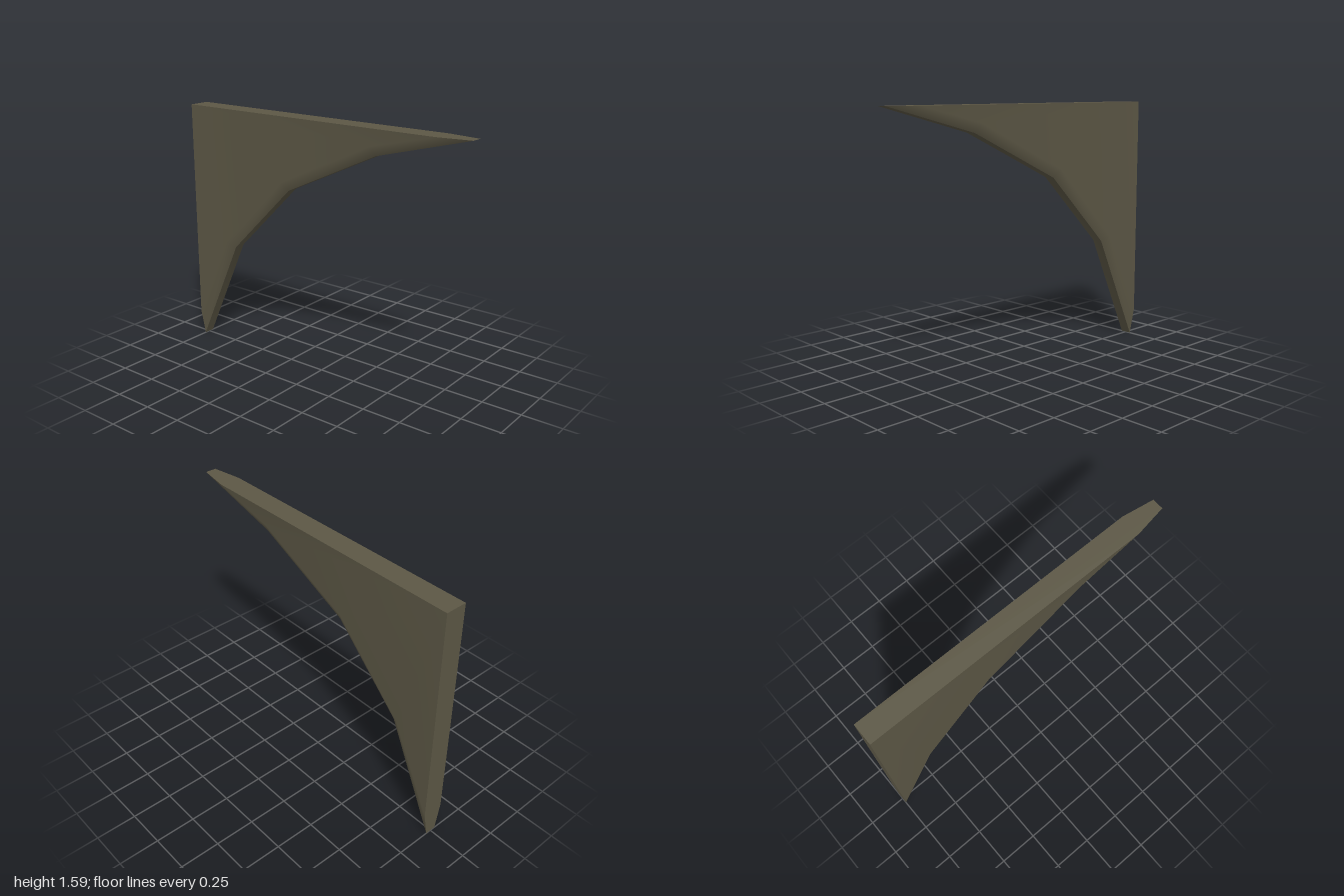
import * as THREE from 'three';

const WIDE = 0.067, NARROW = 0.035;
// Profile points as [z, y]: curved lower edge, its inset bevel line, and the square corner
const EDGE = [[1, 1.592], [0.405, 1.435], [-0.225, 1.14], [-0.68, 0.69], [-1, 0]];
const INSET = [[0.8, 1.592], [0.38, 1.49], [-0.26, 1.19], [-0.73, 0.72], [-1, 0.175]];
const CORNER = [-1, 1.592];

const at = (x, [z, y]) => [x, y, z];

function surface(name, points, index, material) {
  const geometry = new THREE.BufferGeometry();
  geometry.setAttribute('position', new THREE.Float32BufferAttribute(points.flat(), 3));
  geometry.setIndex(index);
  geometry.computeVertexNormals();
  const mesh = new THREE.Mesh(geometry, material);
  mesh.name = name;
  return mesh;
}

// Convex flat polygon as a triangle fan
function polygon(name, points, material) {
  const index = [];
  for (let i = 1; i < points.length - 1; i++) index.push(0, i, i + 1);
  return surface(name, points, index, material);
}

// Flat cheek with a softly shaded bevel along the curve
function cheek(name, side, material) {
  const n = EDGE.length;
  const points = [
    at(side * WIDE, CORNER),
    ...INSET.map((p) => at(side * WIDE, p)),
    ...EDGE.map((p) => at(side * NARROW, p)),
  ];
  const index = [];
  const tri = (a, b, c) => (side > 0 ? index.push(a, b, c) : index.push(a, c, b));
  for (let i = 1; i < n; i++) {
    tri(0, i, i + 1);
    tri(i, i + n, i + n + 1);
    tri(i, i + n + 1, i + 1);
  }
  return surface(name, points, index, material);
}

export function createModel() {
  const group = new THREE.Group();
  group.name = 'bracket';
  const wood = new THREE.MeshStandardMaterial({ color: 0x5c5745 });
  wood.name = 'dark olive brown';

  group.add(cheek('leftCheek', 1, wood), cheek('rightCheek', -1, wood));

  // Narrow underside following the curve
  const points = [], index = [];
  EDGE.forEach((p, i) => {
    points.push(at(-NARROW, p), at(NARROW, p));
    if (i < EDGE.length - 1) {
      const a = i * 2;
      index.push(a, a + 2, a + 3, a, a + 3, a + 1);
    }
  });
  group.add(surface('curvedUnderside', points, index, wood));

  // Straight top and back faces with tapered tips
  const last = EDGE.length - 1;
  group.add(polygon('topFace', [
    at(WIDE, CORNER), at(-WIDE, CORNER), at(-WIDE, INSET[0]),
    at(-NARROW, EDGE[0]), at(NARROW, EDGE[0]), at(WIDE, INSET[0]),
  ], wood));
  group.add(polygon('backFace', [
    at(WIDE, CORNER), at(WIDE, INSET[last]), at(NARROW, EDGE[last]),
    at(-NARROW, EDGE[last]), at(-WIDE, INSET[last]), at(-WIDE, CORNER),
  ], wood));
  return group;
}
